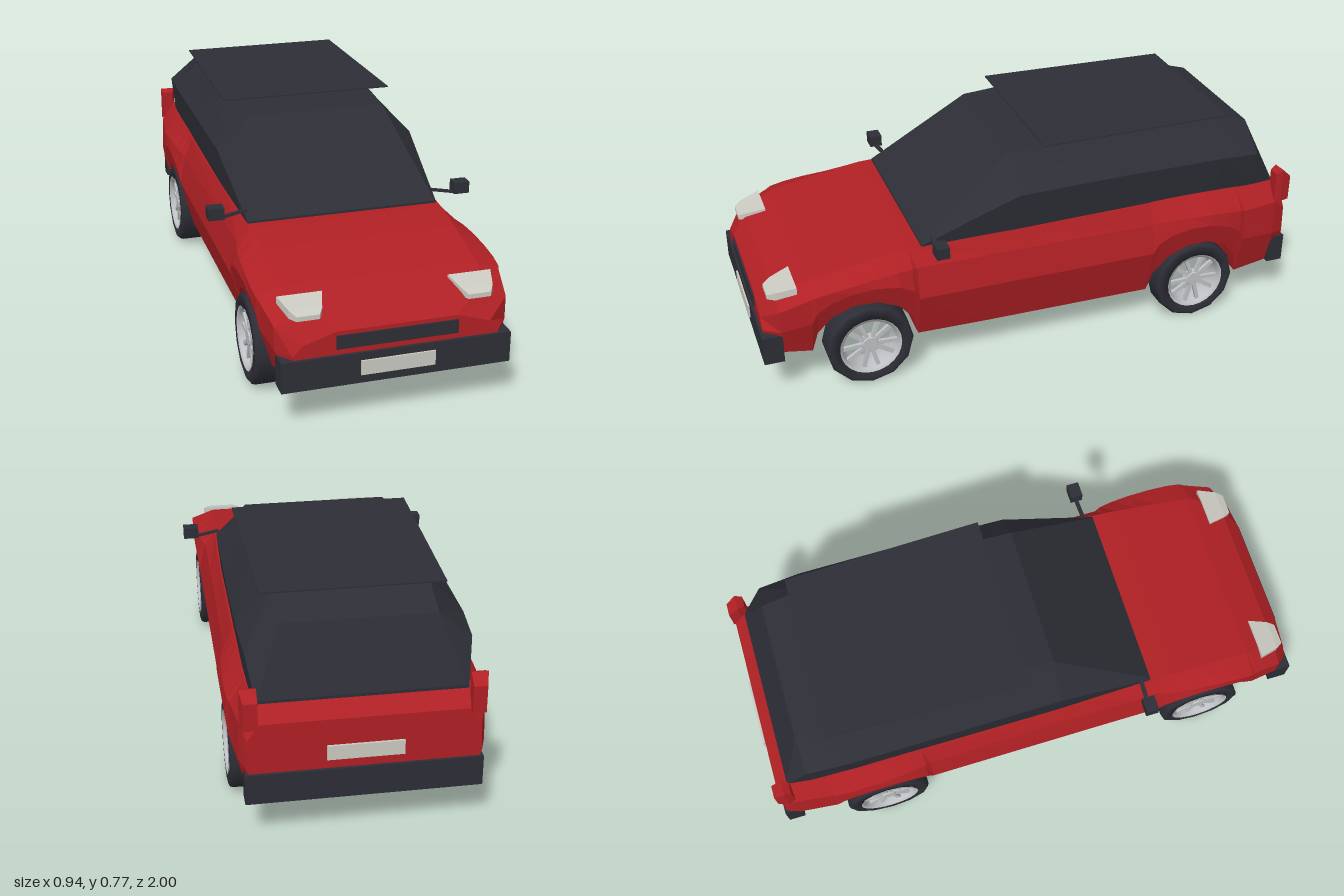
import * as THREE from 'three';

const mat = (name, color, double) => {
  const m = new THREE.MeshStandardMaterial({ color });
  m.name = name;
  if (double) m.side = THREE.DoubleSide;
  return m;
};

// Flat-faceted skin over rings of points (counter-clockwise from the front, listed front to back)
function loft(rings) {
  const pos = [];
  const tri = (a, b, c) => pos.push(...a, ...b, ...c);
  const n = rings[0].length;
  for (let i = 0; i < rings.length - 1; i++) {
    for (let j = 0; j < n; j++) {
      const k = (j + 1) % n;
      const [a, b, c, d] = [rings[i][j], rings[i][k], rings[i + 1][j], rings[i + 1][k]];
      tri(a, c, b);
      tri(b, c, d);
    }
  }
  const first = rings[0], last = rings[rings.length - 1];
  for (let j = 1; j < n - 1; j++) {
    tri(first[0], first[j], first[j + 1]);
    tri(last[0], last[j + 1], last[j]);
  }
  const g = new THREE.BufferGeometry();
  g.setAttribute('position', new THREE.Float32BufferAttribute(pos, 3));
  g.computeVertexNormals();
  return g;
}

// Symmetric ring from z followed by half-section pairs (x, y), bottom to top
function ring([z, ...v]) {
  const half = [];
  for (let i = 0; i < v.length; i += 2) half.push([v[i], v[i + 1], z]);
  return [...half, ...half.slice().reverse().map(([x, y]) => [-x, y, z])];
}

// Four-sided ring on one side of the car
function sideRing(s, z, x0, x1, y0, y1) {
  const r = [[x0 * s, y0, z], [x1 * s, y0, z], [x1 * s, y1, z], [x0 * s, y1, z]];
  return s > 0 ? r : r.reverse();
}

// Wheel arch between two body stations: a half ellipse that lifts the sill and flares the flank
function arch(a, b) {
  const lift = [0, 0.04, 0.185, 0.012, 0.09, 0.017, 0.015, 0, 0.006];
  return [1, 2, 3, 4, 5, 6].map((k) => {
    const angle = k * Math.PI / 7;
    const t = (1 - Math.cos(angle)) / 2;
    return a.map((v, i) => v + (b[i] - v) * t + lift[i] * Math.sin(angle));
  });
}

export function createModel() {
  const car = new THREE.Group();
  car.name = 'car';
  const red = mat('red paint', 0xb02024);
  const dark = mat('dark trim', 0x2d2e36);
  const pale = mat('pale lens', 0xcacac2);
  const steel = mat('wheel silver', 0xbfc1c4, true);

  const add = (parent, name, geo, m, x = 0, y = 0, z = 0) => {
    const mesh = new THREE.Mesh(geo, m);
    mesh.name = name;
    mesh.position.set(x, y, z);
    parent.add(mesh);
    return mesh;
  };
  const box = (name, m, w, h, d, x, y, z) => add(car, name, new THREE.BoxGeometry(w, h, d), m, x, y, z);

  // Body: z, then sill, flank crease, shoulder and top edge
  const nose = [
    [0.985, 0.33, 0.18, 0.34, 0.26, 0.31, 0.295, 0.20, 0.33],
    [0.93, 0.36, 0.17, 0.385, 0.265, 0.385, 0.345, 0.28, 0.38],
    [0.825, 0.365, 0.155, 0.405, 0.29, 0.405, 0.385, 0.33, 0.415],
  ];
  const doors = [
    [0.45, 0.365, 0.14, 0.41, 0.31, 0.385, 0.42, 0.345, 0.473],
    [0.20, 0.365, 0.135, 0.41, 0.31, 0.385, 0.42, 0.355, 0.48],
    [-0.43, 0.365, 0.13, 0.412, 0.31, 0.39, 0.42, 0.36, 0.492],
  ];
  const tail = [
    [-0.795, 0.37, 0.14, 0.412, 0.30, 0.405, 0.415, 0.355, 0.49],
    [-0.93, 0.36, 0.155, 0.395, 0.29, 0.39, 0.42, 0.345, 0.488],
    [-0.98, 0.34, 0.17, 0.375, 0.28, 0.37, 0.38, 0.33, 0.435],
  ];
  const body = [...nose, ...arch(nose[2], doors[0]), ...doors, ...arch(doors[2], tail[0]), ...tail];
  add(car, 'body', loft(body.map(ring)), red);

  // Cabin: z, then base, shoulder and roof edge
  const cabin = [
    [0.42, 0.34, 0.462, 0.34, 0.478, 0.335, 0.482],
    [0.07, 0.35, 0.47, 0.365, 0.62, 0.255, 0.735],
    [-0.30, 0.35, 0.47, 0.37, 0.63, 0.26, 0.76],
    [-0.70, 0.35, 0.47, 0.37, 0.63, 0.255, 0.752],
    [-0.85, 0.345, 0.47, 0.36, 0.62, 0.25, 0.71],
    [-0.935, 0.335, 0.47, 0.335, 0.488, 0.33, 0.493],
  ];
  add(car, 'cabin', loft(cabin.map(ring)), dark);

  // Thin roof panel, a little wider at its front edge
  const panel = [[-0.035, 0.314, 0.765, 0.314, 0.769], [-0.745, 0.30, 0.762, 0.30, 0.766]];
  add(car, 'roofPanel', loft(panel.map(ring)), dark);

  // Bumpers, grille and plates
  box('frontBumper', dark, 0.76, 0.105, 0.07, 0, 0.197, 0.96);
  box('rearBumper', dark, 0.76, 0.105, 0.06, 0, 0.208, -0.96);
  box('grille', dark, 0.402, 0.046, 0.008, 0, 0.293, 0.987);
  box('frontPlate', pale, 0.246, 0.05, 0.008, 0, 0.199, 0.997);
  box('rearPlate', pale, 0.246, 0.05, 0.008, 0, 0.325, -0.994);

  for (const s of [1, -1]) {
    const side = s > 0 ? 'left' : 'right';
    add(car, side + 'Headlight', loft([
      sideRing(s, 0.957, 0.245, 0.32, 0.366, 0.382),
      sideRing(s, 0.93, 0.23, 0.337, 0.366, 0.394),
      sideRing(s, 0.86, 0.21, 0.358, 0.388, 0.412),
    ]), pale);
    add(car, side + 'TailLamp', loft([
      sideRing(s, -0.925, 0.345, 0.385, 0.43, 0.535),
      sideRing(s, -0.95, 0.335, 0.39, 0.42, 0.547),
      sideRing(s, -0.988, 0.335, 0.38, 0.42, 0.515),
    ]), red);
    // Wing mirrors
    box(side + 'Mirror', dark, 0.056, 0.042, 0.045, s * 0.443, 0.511, 0.38);
    const arm = box(side + 'MirrorArm', dark, 0.09, 0.008, 0.014, s * 0.378, 0.5, 0.38);
    arm.rotation.z = -s * 0.2;
  }

  // Wheels: lathes turned about x with the outer face at +y
  const profile = (pts) => pts.map(([x, y]) => new THREE.Vector2(x, y));
  const tyreGeo = new THREE.LatheGeometry(profile([
    [0.106, -0.046], [0.142, -0.05], [0.151, -0.046], [0.155, -0.036],
    [0.155, 0.036], [0.151, 0.046], [0.142, 0.05], [0.106, 0.046], [0.106, -0.046]]), 12);
  const rimGeo = new THREE.LatheGeometry(profile([
    [0.110, -0.049], [0.098, -0.047], [0.094, 0], [0.098, 0.045], [0.110, 0.051]]), 24);
  const hubGeo = new THREE.CylinderGeometry(0.026, 0.036, 0.02, 16);
  const spokeGeo = new THREE.BoxGeometry(0.08, 0.012, 0.014);
  for (const s of [1, -1]) {
    for (const z of [0.63, -0.61]) {
      const wheel = new THREE.Group();
      wheel.name = (z > 0 ? 'front' : 'rear') + (s > 0 ? 'Left' : 'Right') + 'Wheel';
      wheel.position.set(s * 0.358, 0.155, z);
      wheel.rotation.z = -s * Math.PI / 2;
      add(wheel, 'tyre', tyreGeo, dark);
      add(wheel, 'rim', rimGeo, steel);
      add(wheel, 'hub', hubGeo, steel, 0, 0.03, 0);
      // Five pairs of spokes
      for (let i = 0; i < 10; i++) {
        const a = (Math.floor(i / 2) + (i % 2 ? 0.21 : -0.21)) * Math.PI * 2 / 5;
        const spoke = add(wheel, 'spoke', spokeGeo, steel, Math.cos(a) * 0.063, 0.03, -Math.sin(a) * 0.063);
        spoke.rotation.y = a;
      }
      car.add(wheel);
    }
  }
  return car;
}
